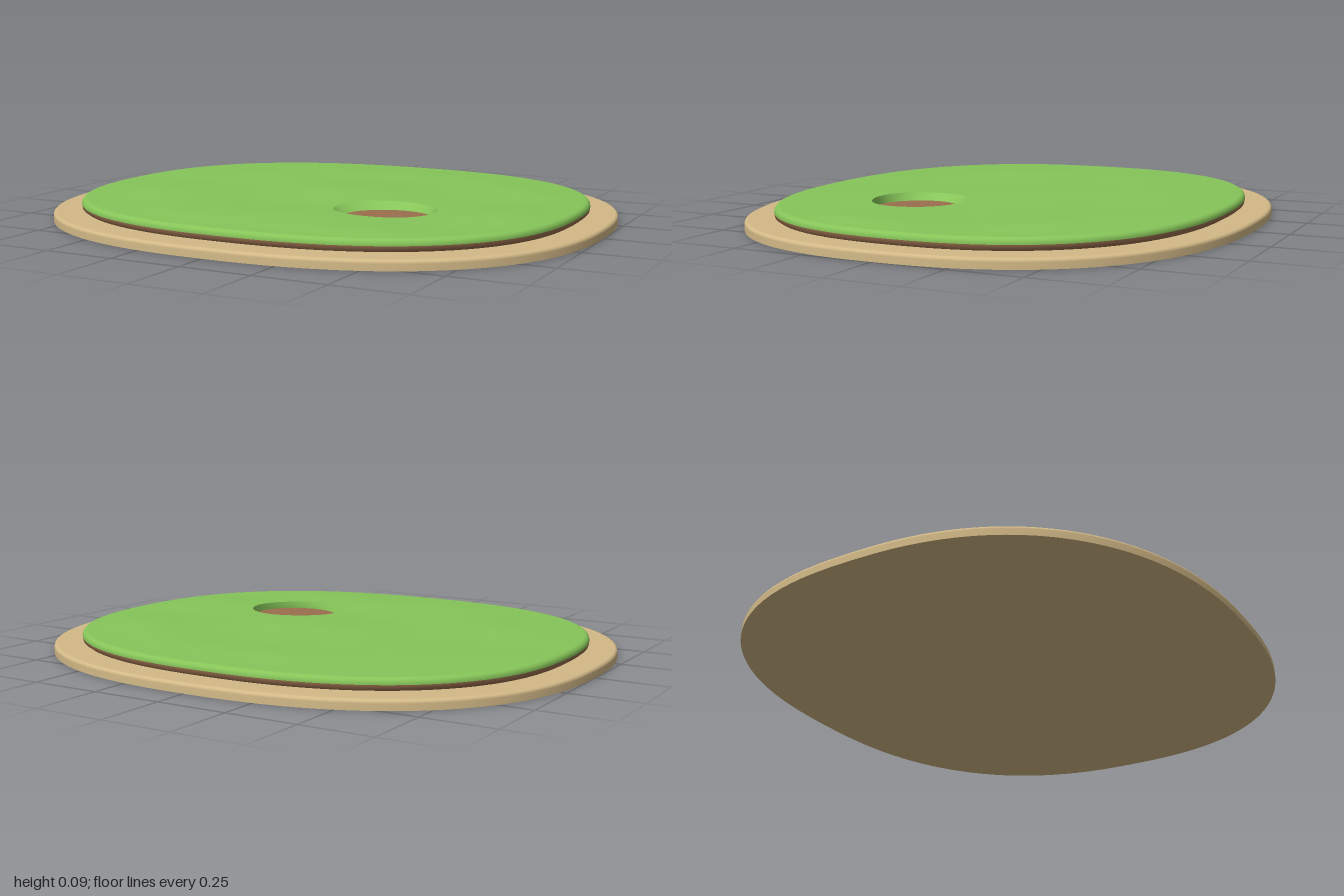
import * as THREE from 'three';

const SEGMENTS = 112;

// Closed rounded outline in plan; power 2 is an ellipse, higher is squarer
function outline(rx, rz, y, power = 2.4, cx = 0, cz = 0) {
  const ring = [];
  for (let j = 0; j < SEGMENTS; j++) {
    const t = (j / SEGMENTS) * Math.PI * 2;
    const c = Math.cos(t), s = Math.sin(t);
    ring.push(new THREE.Vector3(
      cx + Math.sign(c) * Math.abs(c) ** (2 / power) * rx,
      y,
      cz - Math.sign(s) * Math.abs(s) ** (2 / power) * rz
    ));
  }
  return ring;
}

// Skins a stack of rings; a repeated ring makes a sharp edge
function loft(rings) {
  const positions = [], index = [];
  rings.forEach((ring) => ring.forEach((p) => positions.push(p.x, p.y, p.z)));
  for (let i = 0; i < rings.length - 1; i++) {
    if (rings[i] === rings[i + 1]) continue;
    for (let j = 0; j < SEGMENTS; j++) {
      const k = (j + 1) % SEGMENTS;
      const a = i * SEGMENTS + j, b = i * SEGMENTS + k;
      index.push(a, b, b + SEGMENTS, a, b + SEGMENTS, a + SEGMENTS);
    }
  }
  const geometry = new THREE.BufferGeometry();
  geometry.setAttribute('position', new THREE.Float32BufferAttribute(positions, 3));
  geometry.setIndex(index);
  geometry.computeVertexNormals();
  return geometry;
}

// Quarter-round edge ending at the given top height
function roundedEdge(rx, rz, top, radius) {
  const rings = [];
  for (let i = 0; i <= 5; i++) {
    const a = (i / 5) * Math.PI / 2;
    const inset = radius * (1 - Math.cos(a));
    rings.push(outline(rx - inset, rz - inset, top - radius * (1 - Math.sin(a))));
  }
  return rings;
}

// Gentle unevenness of the turf
function bump(x, z) {
  const wave = Math.sin(x * 7 + z * 3 + 1.6) * Math.cos(z * 8 - x * 2 + 0.5)
    + 0.6 * Math.sin(x * 4 - z * 11 + 0.8);
  return 0.0045 + 0.0032 * wave;
}

export function createModel() {
  const sand = new THREE.MeshStandardMaterial({ name: 'sand', color: 0xd3b987 });
  const soil = new THREE.MeshStandardMaterial({ name: 'soil', color: 0x9a6f4e });
  const grass = new THREE.MeshStandardMaterial({ name: 'grass', color: 0x86c559 });

  const model = new THREE.Group();
  model.name = 'grassIsland';
  const add = (name, rings, material) => {
    const mesh = new THREE.Mesh(loft(rings), material);
    mesh.name = name;
    model.add(mesh);
  };

  // Sand base with a softened upper edge
  const foot = outline(1, 0.877, 0);
  add('sandBase', [
    outline(0, 0, 0), foot, foot,
    ...roundedEdge(1, 0.877, 0.034, 0.012),
    outline(0.8, 0.68, 0.034), outline(0, 0, 0.034)
  ], sand);

  // Soil layer, whose top is also the floor of the hole
  const soilTop = outline(0.905, 0.782, 0.054);
  add('soilLayer', [
    outline(0.893, 0.77, 0.034), outline(0.903, 0.78, 0.042),
    soilTop, soilTop, outline(0, 0, 0.054)
  ], soil);

  // Turf with a rounded border, uneven top and a sunken hole
  const border = roundedEdge(0.905, 0.782, 0.076, 0.018);
  const edge = border[border.length - 1];
  const hole = outline(0.178, 0.162, 0.076, 2, 0.313, 0.233);
  const top = [];
  const STEPS = 28;
  for (let i = 1; i <= STEPS; i++) {
    const f = i / STEPS;
    const fade = Math.min(1, f * 3);
    top.push(edge.map((p, j) => {
      const v = p.clone().lerp(hole[j], f);
      v.y = 0.076 + bump(v.x, v.z) * fade * fade * (3 - 2 * fade);
      return v;
    }));
  }
  const rim = top[top.length - 1];
  add('grassTop', [
    outline(0.905, 0.782, 0.054), ...border, ...top, rim,
    outline(0.168, 0.152, 0.066, 2, 0.321, 0.239),
    outline(0.16, 0.146, 0.054, 2, 0.328, 0.245)
  ], grass);

  return model;
}
